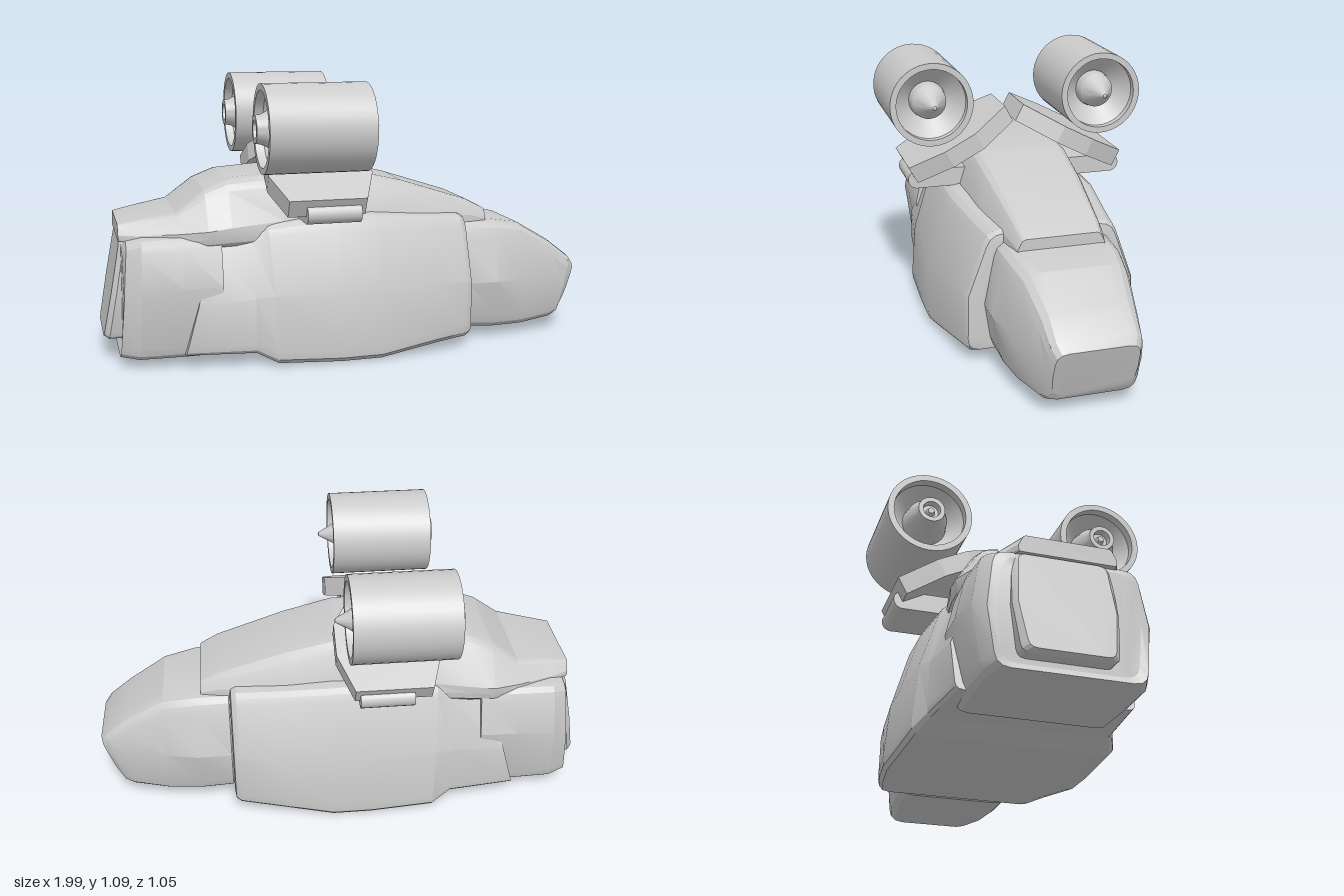
import * as THREE from 'three';
import { toCreasedNormals } from 'three/addons/utils/BufferGeometryUtils.js';

const grey = new THREE.MeshStandardMaterial({ color: 0xcccccc, side: THREE.DoubleSide });

function add(parent, name, geometry) {
  const mesh = new THREE.Mesh(geometry, grey);
  mesh.name = name;
  parent.add(mesh);
  return mesh;
}

// Cross-section in (z, y): bottom, waist and top half widths, with rounded bottom and top corners.
function ring([xb, xt, yb, yt, wb, wm, ym, wt, c]) {
  const half = [];
  const corner = (z, y, z0, y0, z1, y1) => {
    for (let i = 0; i <= 3; i++) {
      const t = i / 3, a = (1 - t) ** 2, b = 2 * t * (1 - t), d = t * t;
      half.push([a * z0 + b * z + d * z1, a * y0 + b * y + d * y1]);
    }
  };
  const along = (z, y) => {
    const l = Math.hypot(wm - z, ym - y);
    return [z + (wm - z) * c / l, y + (ym - y) * c / l];
  };
  corner(wb, yb, wb - c, yb, ...along(wb, yb));
  half.push([wm, ym]);
  corner(wt, yt, ...along(wt, yt), wt - c, yt);
  const all = [...half, ...half.slice().reverse().map(([z, y]) => [-z, y])];
  return all.map(([z, y]) => [xb + (xt - xb) * (y - yb) / (yt - yb), y, z]);
}

// Skin a row of cross-sections running from back to front and close both ends.
function loft(stations, crease = 0.35) {
  const rings = stations.map(ring), n = rings[0].length, pos = [];
  const tri = (a, b, c) => pos.push(...a, ...b, ...c);
  for (let i = 0; i < rings.length - 1; i++) {
    for (let j = 0; j < n; j++) {
      const k = (j + 1) % n, [p, q] = [rings[i], rings[i + 1]];
      tri(p[j], p[k], q[j]);
      tri(q[j], p[k], q[k]);
    }
  }
  const last = rings[rings.length - 1];
  for (let j = 1; j < n - 1; j++) {
    tri(rings[0][0], rings[0][j + 1], rings[0][j]);
    tri(last[0], last[j], last[j + 1]);
  }
  // orient the skin outwards by the sign of its volume
  let volume = 0;
  for (let i = 0; i < pos.length; i += 9) {
    const [a, b, c] = [0, 3, 6].map(o => new THREE.Vector3(...pos.slice(i + o, i + o + 3)));
    volume += a.dot(b.cross(c));
  }
  if (volume < 0) {
    for (let i = 0; i < pos.length; i += 9) {
      for (let o = 3; o < 6; o++) [pos[i + o], pos[i + o + 3]] = [pos[i + o + 3], pos[i + o]];
    }
  }
  const g = new THREE.BufferGeometry();
  g.setAttribute('position', new THREE.Float32BufferAttribute(pos, 3));
  g.computeVertexNormals();
  return toCreasedNormals(g, crease);
}

// Turned part whose axis lies along x; points are [radius, x].
function turned(points) {
  const g = new THREE.LatheGeometry(points.map(p => new THREE.Vector2(...p)), 40);
  g.rotateZ(-Math.PI / 2);
  return toCreasedNormals(g, 0.4);
}

function makeEngine() {
  const engine = new THREE.Group();
  engine.name = 'engine';
  add(engine, 'duct', turned([
    [0.075, -0.1], [0.145, -0.03], [0.145, 0], [0.17, 0], [0.17, -0.405],
    [0.145, -0.405], [0.145, -0.37], [0.085, -0.3],
  ]));
  add(engine, 'noseSpike', turned([
    [0.076, -0.1], [0.07, -0.055], [0.045, -0.015], [0.035, 0], [0.008, 0.05], [0, 0.053],
  ].reverse()));
  add(engine, 'exhaustNozzle', turned([
    [0.09, -0.3], [0.08, -0.36], [0.057, -0.405], [0.053, -0.43], [0.035, -0.43],
    [0.033, -0.4], [0.018, -0.4], [0.012, -0.42], [0, -0.42],
  ]));
  return engine;
}

export function createModel() {
  const ship = new THREE.Group();
  ship.name = 'ship';

  // stations: xBottom, xTop, yBottom, yTop, wBottom, wWaist, yWaist, wTop, corner
  add(ship, 'mainHull', loft([
    [-0.70, -0.58, 0.055, 0.50, 0.33, 0.335, 0.25, 0.25, 0.03],
    [-0.43, -0.43, 0.05, 0.515, 0.36, 0.35, 0.27, 0.27, 0.04],
    [-0.35, -0.37, 0.012, 0.545, 0.40, 0.375, 0.28, 0.29, 0.05],
    [-0.10, -0.10, 0.002, 0.57, 0.41, 0.385, 0.28, 0.30, 0.05],
    [0.06, 0.06, 0.004, 0.565, 0.412, 0.385, 0.28, 0.30, 0.05],
    [0.30, 0.28, 0.035, 0.545, 0.375, 0.36, 0.28, 0.27, 0.05],
    [0.435, 0.435, 0.045, 0.535, 0.345, 0.34, 0.28, 0.25, 0.05],
    [0.455, 0.455, 0.055, 0.525, 0.335, 0.33, 0.28, 0.24, 0.05],
    [0.46, 0.46, 0.075, 0.505, 0.31, 0.305, 0.28, 0.22, 0.05],
  ]));
  add(ship, 'nose', loft([
    [0.45, 0.45, 0.07, 0.48, 0.22, 0.255, 0.25, 0.20, 0.05],
    [0.465, 0.465, 0.05, 0.50, 0.24, 0.27, 0.25, 0.22, 0.06],
    [0.60, 0.60, 0.04, 0.495, 0.235, 0.272, 0.25, 0.215, 0.06],
    [0.73, 0.73, 0.038, 0.472, 0.22, 0.245, 0.25, 0.195, 0.06],
    [0.88, 0.88, 0.05, 0.385, 0.19, 0.20, 0.24, 0.175, 0.06],
    [0.91, 0.97, 0.06, 0.315, 0.17, 0.178, 0.20, 0.17, 0.05],
    [0.93, 0.998, 0.085, 0.28, 0.15, 0.158, 0.18, 0.155, 0.045],
  ]));
  add(ship, 'upperDeck', loft([
    [-0.93, -0.93, 0.485, 0.55, 0.18, 0.18, 0.51, 0.16, 0.01],
    [-0.86, -0.86, 0.48, 0.565, 0.215, 0.21, 0.51, 0.17, 0.015],
    [-0.71, -0.71, 0.47, 0.59, 0.27, 0.27, 0.52, 0.20, 0.02],
    [-0.60, -0.60, 0.46, 0.675, 0.30, 0.305, 0.53, 0.20, 0.04],
    [-0.51, -0.51, 0.46, 0.712, 0.30, 0.30, 0.54, 0.20, 0.05],
    [-0.30, -0.30, 0.46, 0.728, 0.28, 0.26, 0.55, 0.195, 0.05],
    [0.02, 0.02, 0.46, 0.718, 0.26, 0.245, 0.55, 0.19, 0.05],
    [0.22, 0.22, 0.46, 0.67, 0.24, 0.23, 0.54, 0.18, 0.045],
    [0.50, 0.50, 0.46, 0.58, 0.19, 0.185, 0.52, 0.16, 0.025],
    [0.575, 0.575, 0.46, 0.54, 0.17, 0.17, 0.50, 0.15, 0.015],
  ], 0.25));
  add(ship, 'rearBlock', loft([
    [-0.925, -0.92, 0.07, 0.465, 0.24, 0.26, 0.27, 0.23, 0.05],
    [-0.94, -0.905, 0.045, 0.49, 0.265, 0.29, 0.27, 0.26, 0.05],
    [-0.87, -0.85, 0.035, 0.505, 0.29, 0.325, 0.30, 0.29, 0.05],
    [-0.70, -0.70, 0.035, 0.512, 0.295, 0.335, 0.32, 0.295, 0.05],
    [-0.55, -0.55, 0.035, 0.51, 0.29, 0.33, 0.32, 0.285, 0.05],
  ]));
  const plate = add(ship, 'tailPlate', loft([
    [-0.995, -0.925, 0.10, 0.48, 0.15, 0.175, 0.28, 0.16, 0.03],
    [-0.975, -0.905, 0.09, 0.49, 0.17, 0.19, 0.28, 0.18, 0.03],
    [-0.90, -0.87, 0.09, 0.49, 0.17, 0.19, 0.28, 0.18, 0.03],
  ]));
  plate.position.z = -0.02;

  // sloping hexagonal pylons with an engine, outer hinge rod and strut on each side
  const outline = new THREE.Shape([
    [-0.28, 0], [-0.06, 0], [0.04, 0.17], [0.04, 0.31], [-0.02, 0.47], [-0.32, 0.47], [-0.37, 0.31], [-0.36, 0.17],
  ].map(p => new THREE.Vector2(...p)));
  for (const side of [1, -1]) {
    const mount = new THREE.Group();
    mount.name = side > 0 ? 'leftEngineMount' : 'rightEngineMount';
    const slope = new THREE.ExtrudeGeometry(outline, { depth: 0.075, bevelEnabled: false });
    slope.rotateX(Math.PI / 2 + 0.487 * 1);
    const pylon = add(mount, 'pylon', slope);
    pylon.position.set(0, 0.88, 0.04);
    if (side < 0) {
      // mirrored slope for the opposite side
      pylon.geometry = new THREE.ExtrudeGeometry(outline, { depth: 0.075, bevelEnabled: false });
      pylon.geometry.rotateX(-Math.PI / 2 - 0.487).translate(0, 0, 0);
      pylon.position.z = -0.04;
      // the plate thickness hangs below the sloping top face
      pylon.position.y -= 0.075 * Math.cos(0.487);
      pylon.position.z += 0.075 * Math.sin(0.487);
    }
    const rod = add(mount, 'hingeRod', new THREE.CylinderGeometry(0.038, 0.038, 0.21, 20));
    rod.rotation.z = Math.PI / 2;
    rod.position.set(-0.145, 0.602, 0.418 * side);
    const strut = add(mount, 'strut', new THREE.BoxGeometry(0.21, 0.075, 0.22));
    strut.position.set(-0.145, 0.602, 0.31 * side);
    const engine = makeEngine();
    engine.position.set(0, 0.92, 0.357 * side);
    mount.add(engine);
    ship.add(mount);
  }
  return ship;
}
